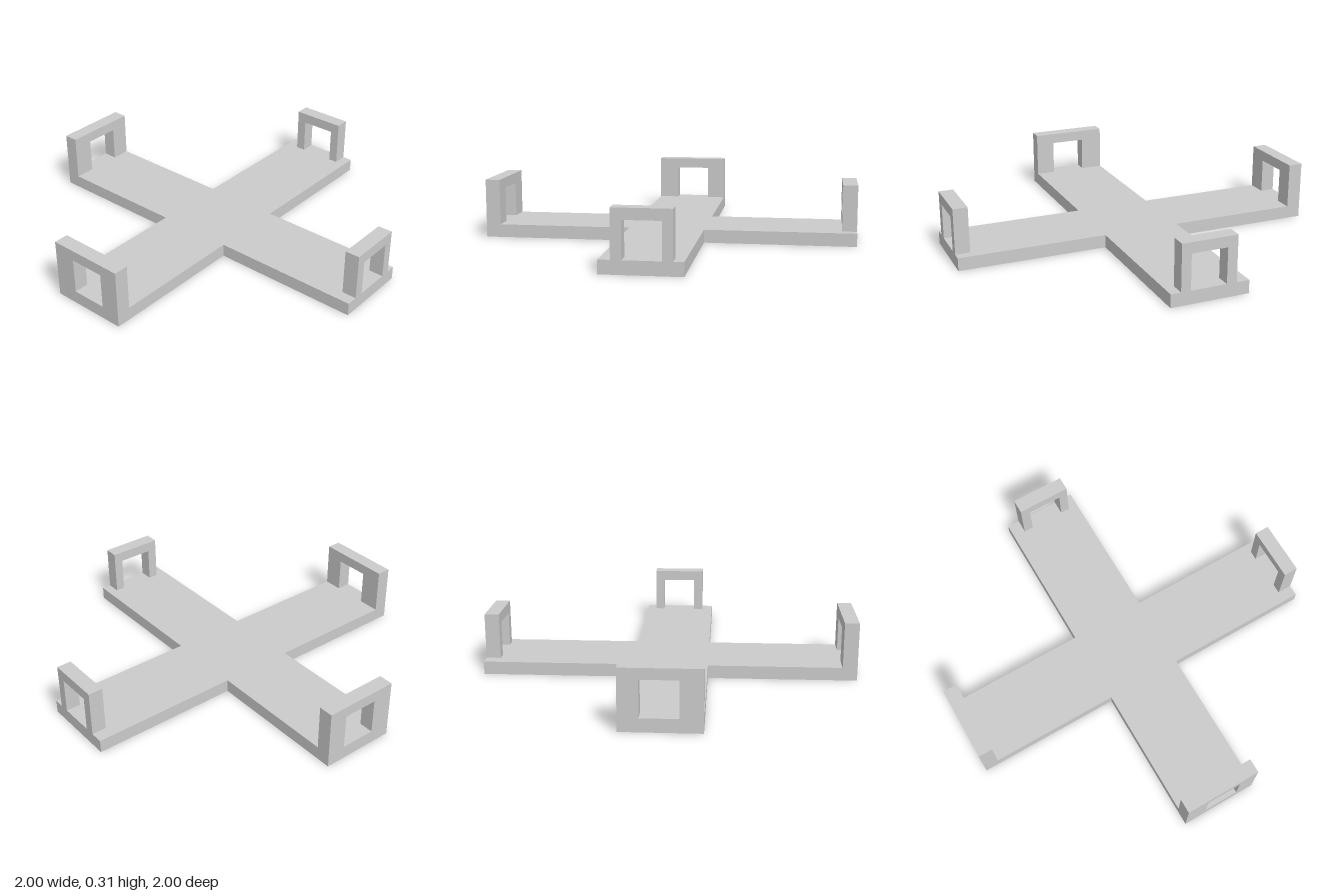
import * as THREE from 'three';

const material = new THREE.MeshStandardMaterial({ color: 0xcccccc, flatShading: true });
const PLATE = 0.07, TOP = 0.315, DEPTH = 0.078;

const polygon = (points) => new THREE.Shape(points.map(([x, y]) => new THREE.Vector2(x, y)));
const extrude = (shape, depth) => new THREE.ExtrudeGeometry(shape, { depth, bevelEnabled: false });

// Upright arch with a square opening, from x0 to x1, its outer face at z = 1
function archGeometry(x0, x1) {
  const half = 0.095, lintel = 0.258;
  const shape = polygon([
    [x0, PLATE], [-half, PLATE], [-half, lintel], [half, lintel],
    [half, PLATE], [x1, PLATE], [x1, TOP], [x0, TOP],
  ]);
  return extrude(shape, DEPTH).translate(0, 0, 1 - DEPTH);
}

export function createModel() {
  const group = new THREE.Group();
  const add = (name, geometry) => {
    const mesh = new THREE.Mesh(geometry, material);
    mesh.name = name;
    group.add(mesh);
  };

  // Cross-shaped base plate, drawn with y = -z and laid flat
  const left = -0.208, right = 0.197, front = -0.2, back = 0.217;
  const cross = polygon([
    [left, -1], [right, -1], [right, front], [1, front], [1, back], [right, back],
    [right, 1], [left, 1], [left, back], [-1, back], [-1, front], [left, front],
  ]);
  add('basePlate', extrude(cross, PLATE).rotateX(-Math.PI / 2));

  // One arch at the end of each arm: narrow at front and left, full width at back and right
  const arches = [
    ['frontArch', -0.148, 0.146, 0],
    ['leftArch', -0.146, 0.148, Math.PI / 2],
    ['backArch', -right, -left, Math.PI],
    ['rightArch', -back, -front, -Math.PI / 2],
  ];
  for (const [name, x0, x1, turn] of arches) add(name, archGeometry(x0, x1).rotateY(turn));

  return group;
}
